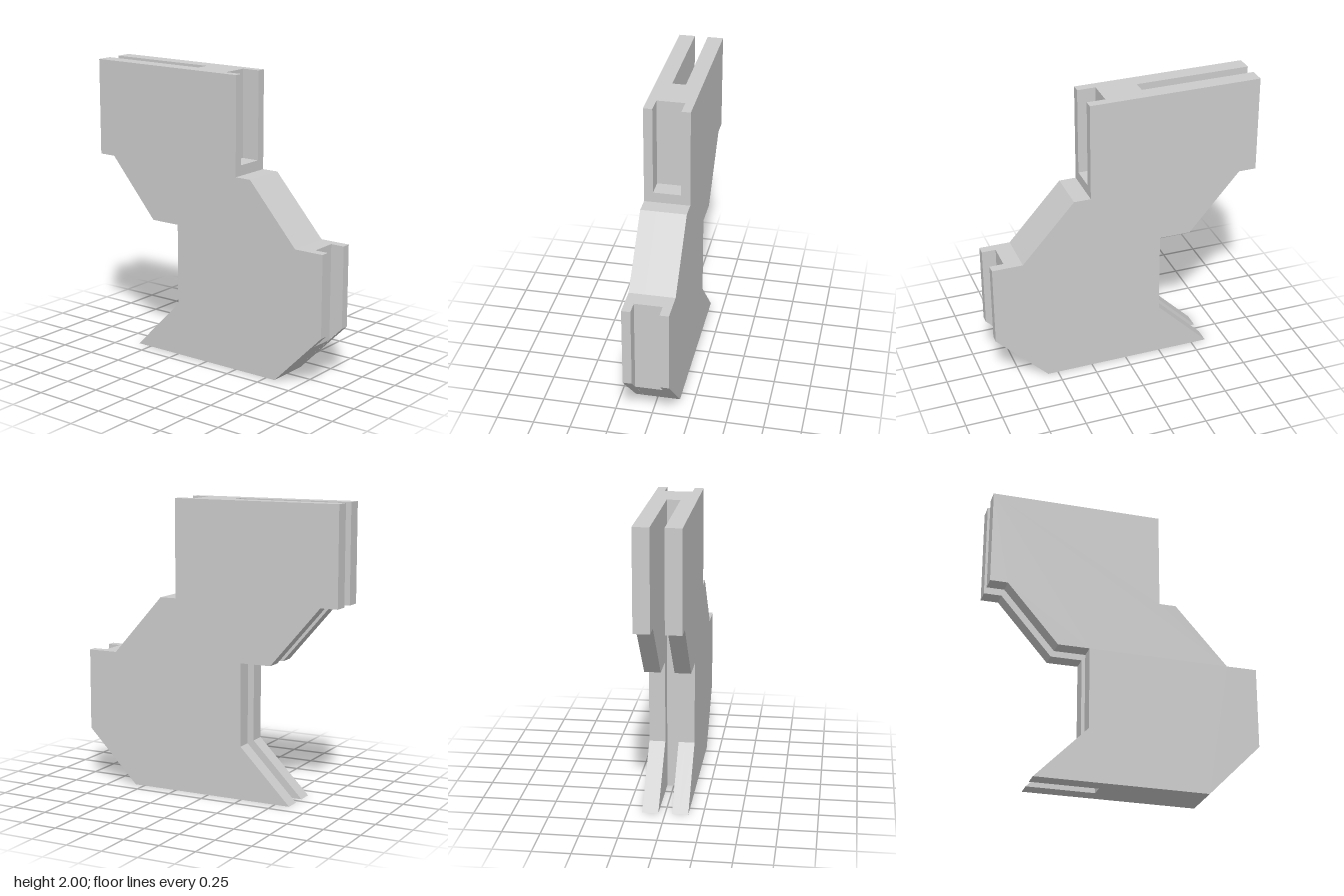
import * as THREE from 'three';
import { mergeGeometries } from 'three/addons/utils/BufferGeometryUtils.js';

// Half widths: whole body, front pockets, rear slot
const W = 0.153, POCKET = 0.093, SLOT = 0.045;
const SLOT_END = -0.145;

// Outlines as [z, y], counter-clockwise
const shoulder = [[0.72, 0.925], [0.36, 1.33], [0.245, 1.33]];
const back = [[-0.93, 2], [-0.93, 1.335], [-0.81, 1.335], [-0.46, 0.93],
  [-0.245, 0.93], [-0.245, 0.365], [-0.605, 0]];
const plainFront = [[0.57, 0], [0.93, 0.365], [0.93, 0.925], ...shoulder, [0.245, 2]];
const pocketFront = [[0.57, 0], [0.835, 0.27], [0.835, 0.925], ...shoulder,
  [0.245, 1.4], [0.12, 1.4], [0.12, 2]];

// Exposed inner side faces of the recesses
const lowerPocket = [[0.835, 0.27], [0.93, 0.365], [0.93, 0.925], [0.835, 0.925]];
const upperPocket = [[0.12, 1.4], [0.245, 1.4], [0.245, 2], [0.12, 2]];
const rearSlot = [...back, [SLOT_END, 0], [SLOT_END, 2]];

function geometryFrom(positions) {
  const g = new THREE.BufferGeometry();
  g.setAttribute('position', new THREE.Float32BufferAttribute(positions, 3));
  g.computeVertexNormals();
  return g;
}

// Edge band running around an outline between x0 and x1
function band(outline, x0, x1, skipEdge = () => false) {
  const pos = [];
  outline.forEach((p, i) => {
    const q = outline[(i + 1) % outline.length];
    if (skipEdge(p, q)) return;
    const a = [x0, p[1], p[0]], b = [x1, p[1], p[0]];
    const c = [x1, q[1], q[0]], d = [x0, q[1], q[0]];
    pos.push(...a, ...b, ...c, ...a, ...c, ...d);
  });
  return geometryFrom(pos);
}

// Flat side face at x, facing towards +x or -x
function side(outline, x, facing) {
  const pts = outline.map(([z, y]) => new THREE.Vector2(z, y));
  const pos = [];
  for (const tri of THREE.ShapeUtils.triangulateShape(pts, [])) {
    const order = facing < 0 ? tri : [tri[0], tri[2], tri[1]];
    for (const i of order) pos.push(x, pts[i].y, pts[i].x);
  }
  return geometryFrom(pos);
}

export function createModel() {
  const group = new THREE.Group();
  const material = new THREE.MeshStandardMaterial({ color: 0xcccccc, flatShading: true });
  const add = (name, parts) => {
    const mesh = new THREE.Mesh(mergeGeometries(parts), material);
    mesh.name = name;
    group.add(mesh);
  };

  const full = [...plainFront, ...back];
  const pocketed = [...pocketFront, ...back];
  const core = [...pocketFront, [SLOT_END, 2], [SLOT_END, 0]];

  // Mirrored side plates with their outer faces and recess cheeks
  for (const [s, label] of [[1, 'left'], [-1, 'right']]) {
    const span = (a, b) => (s > 0 ? [a, b] : [-b, -a]);
    add(label + 'OuterPlate', [
      side(full, s * W, s),
      band(full, ...span(POCKET, W)),
      side(lowerPocket, s * POCKET, -s),
      side(upperPocket, s * POCKET, -s),
    ]);
    add(label + 'InnerPlate', [
      band(pocketed, ...span(SLOT, POCKET)),
      side(rearSlot, s * SLOT, -s),
    ]);
  }

  // Middle web between the front pockets and the rear slot
  add('centreWeb', [band(core, -SLOT, SLOT)]);
  return group;
}
